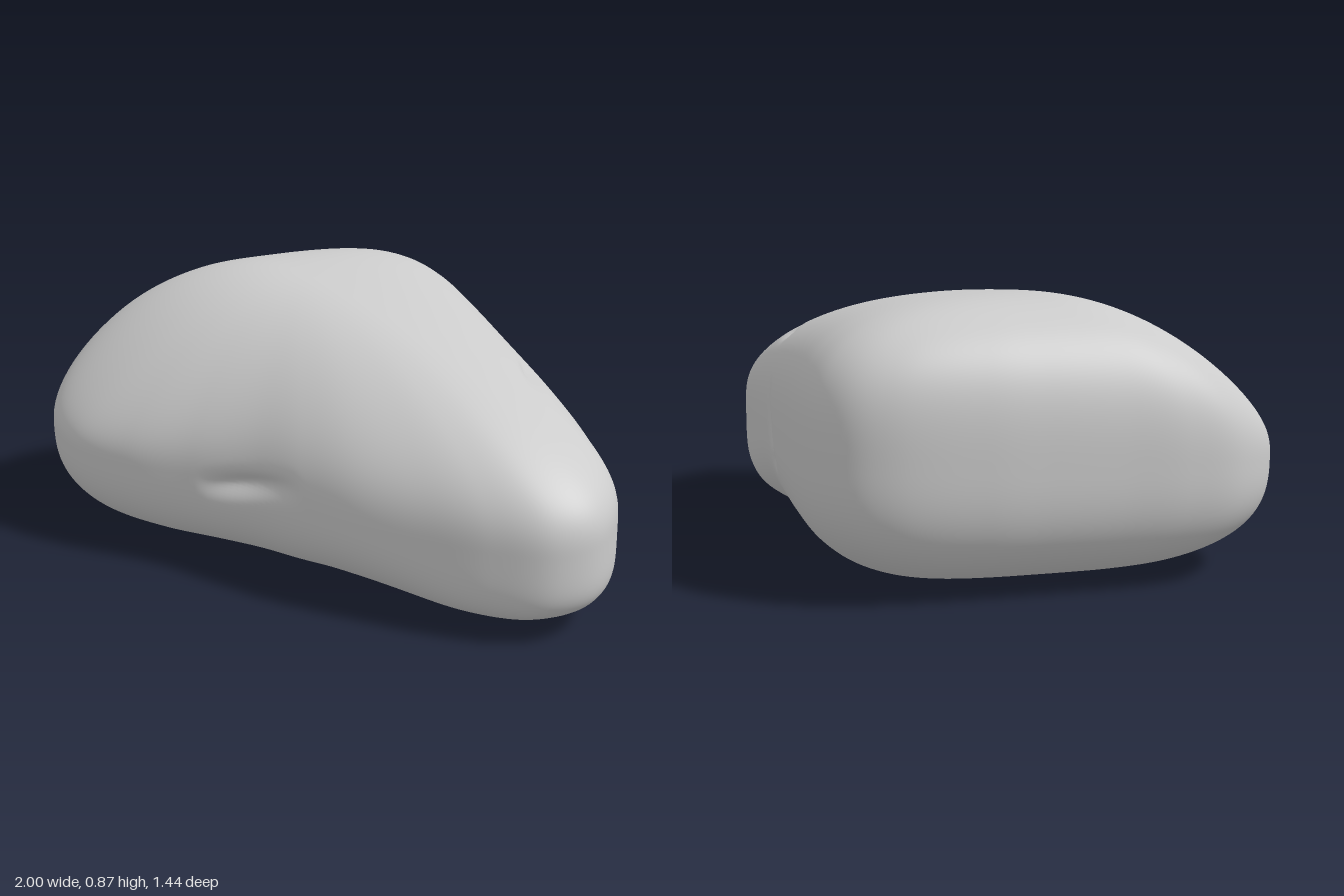
import * as THREE from 'three';
import { mergeVertices } from 'three/addons/utils/BufferGeometryUtils.js';

// Widest outline of the stone seen from above, as x, z
const OUTLINE = [
  [-1, 0.38], [-0.95, 0.55], [-0.83, 0.67], [-0.64, 0.72], [-0.42, 0.67], [-0.2, 0.575],
  [0, 0.5], [0.2, 0.46], [0.4, 0.415], [0.6, 0.34], [0.8, 0.25], [0.95, 0.14],
  [1, 0], [0.94, -0.16], [0.8, -0.25], [0.6, -0.345], [0.3, -0.47], [0, -0.6],
  [-0.22, -0.69], [-0.38, -0.725], [-0.5, -0.7], [-0.6, -0.61], [-0.735, -0.36],
  [-0.81, -0.18], [-0.89, 0.02], [-0.965, 0.21],
];

// Small chips in the skin: start, end, width, depth
const CHIPS = [
  [[-0.18, 0.3, 0.55], [0.2, 0.38, 0.46], 0.035, 0.035],
  [[0.3, 0.55, -0.44], [0.21, 0.29, -0.52], 0.018, 0.022],
  [[0.22, 0.32, -0.51], [0.19, 0.27, -0.53], 0.025, 0.02],
  [[0.4, 0.67, -0.34], [0.58, 0.64, -0.16], 0.025, 0.022],
].map(([a, b, width, depth]) => ({
  line: new THREE.Line3(new THREE.Vector3(...a), new THREE.Vector3(...b)), width, depth,
}));

// Height of the top skin: falls toward the narrow end and the front
const topHeight = (x, z) => 0.83 - 0.13 * x - 0.07 * x * x - 0.58 * Math.max(0, z) ** 2;

// Underside has a shallow hollow before the narrow end
const baseHeight = (x) => 0.03 * Math.exp(-(((x - 0.42) / 0.28) ** 2));

// Running average of a closed ring, which softens its corners
function softened(ring, reach) {
  return ring.map((_, i) => {
    const sum = new THREE.Vector3();
    for (let k = -reach; k <= reach; k++) sum.add(ring[(i + k + ring.length) % ring.length]);
    return sum.divideScalar(2 * reach + 1);
  });
}

function stoneGeometry() {
  const W = 240, H = 120;
  const curve = new THREE.CatmullRomCurve3(
    OUTLINE.map(([x, z]) => new THREE.Vector3(x, 0, z)), true, 'centripetal');
  const rim = curve.getSpacedPoints(W).slice(0, W);
  const inner = softened(rim, 16);
  const geo = new THREE.SphereGeometry(1, W, H);
  geo.deleteAttribute('uv');
  geo.deleteAttribute('normal');
  const pos = geo.attributes.position;
  const p = new THREE.Vector3(), near = new THREE.Vector3(), edge = new THREE.Vector3();
  const core = new THREE.Vector3(-0.3, 0.4, 0);

  for (let i = 0; i < pos.count; i++) {
    const col = (i % (W + 1)) % W;
    const row = Math.floor(i / (W + 1));
    const t = (row / H) * Math.PI;
    const s = Math.sin(t), c = Math.abs(Math.cos(t));
    const upper = row <= H / 2;

    // Superellipse section: blunt at the back, softer at the front
    const soft = inner[col];
    const n = upper
      ? 2.8 - 0.65 * soft.z
      : 2.9 + 2 * THREE.MathUtils.smoothstep(soft.x, 0.3, 0.9);
    const r = (s ** n + c ** n) ** (-1 / n);
    const u = r * s, v = r * c;

    // Rings grow rounder toward the poles
    edge.lerpVectors(soft, rim[col], u);
    const x = core.x + (edge.x - core.x) * u;
    const z = core.z + (edge.z - core.z) * u;
    const mid = 0.36 - 0.05 * edge.x - 0.07 * edge.z;
    const end = upper ? topHeight(x, z) : baseHeight(x);
    p.set(x, mid + (end - mid) * v, z);

    // Press the chips inward, tapering to their ends
    for (const { line, width, depth } of CHIPS) {
      const along = line.closestPointToPointParameter(p, true);
      line.at(along, near);
      const push = depth * Math.sin(Math.PI * along)
        * Math.exp(-near.distanceToSquared(p) / (width * width));
      if (push > 1e-4) p.addScaledVector(near.subVectors(core, p).normalize(), push);
    }
    pos.setXYZ(i, p.x, p.y, p.z);
  }
  // Weld the seam and poles for continuous smooth normals
  const welded = mergeVertices(geo, 1e-5);
  welded.computeVertexNormals();
  return welded;
}

export function createModel() {
  const group = new THREE.Group();
  group.name = 'pebble';
  const stone = new THREE.Mesh(stoneGeometry(), new THREE.MeshStandardMaterial({ color: 0xcccccc }));
  stone.name = 'stone';
  group.add(stone);
  return group;
}
